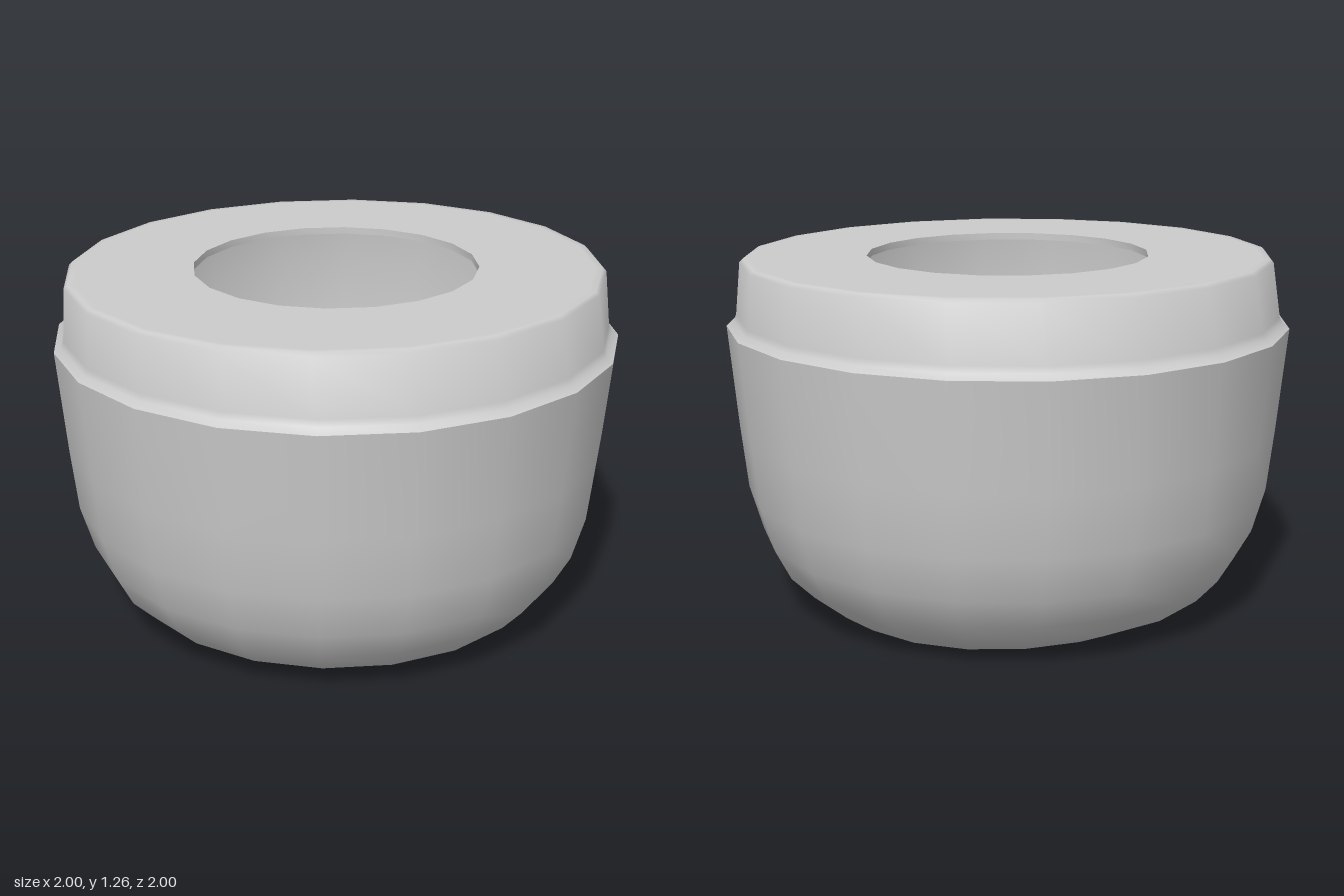
import * as THREE from 'three';
import { mergeGeometries, toCreasedNormals } from 'three/addons/utils/BufferGeometryUtils.js';

const SIDES = 20;

// Closed shell profile: [x radius, height, z radius], up the outside and down the inside
const PROFILE = [
  [0.65, 0, 0.6], [0.76, 0.075, 0.755], [0.845, 0.16, 0.83], [0.9, 0.27, 0.893],
  [0.947, 0.43, 0.937], [0.97, 0.65, 0.962], [1, 1.02, 1],
  [0.975, 1.038, 0.975], [0.965, 1.06, 0.965],            // rounded lip
  [0.957, 1.248, 0.925], [0.945, 1.26, 0.913], [0.92, 1.26, 0.89], // collar
  [0.505, 1.26, 0.498], [0.505, 1.235, 0.498],            // round opening
  [0.87, 1.235, 0.84], [0.89, 1.0, 0.89], [0.85, 0.45, 0.84],
  [0.81, 0.3, 0.8], [0.75, 0.18, 0.73], [0.65, 0.1, 0.6],
];

function shellGeometry() {
  const geo = new THREE.LatheGeometry(PROFILE.map(([r, y]) => new THREE.Vector2(r, y)), SIDES);
  const pos = geo.attributes.position;
  // squeeze each ring slightly in z
  for (let i = 0; i < pos.count; i++) {
    const [rx, , rz] = PROFILE[i % PROFILE.length];
    pos.setZ(i, pos.getZ(i) * rz / rx);
  }
  return geo.toNonIndexed();
}

function ring(cx, cy, rx, ry, n, start = 0) {
  return Array.from({ length: n }, (_, i) => {
    const a = start + (i / n) * Math.PI * 2;
    return new THREE.Vector2(cx + rx * Math.cos(a), cy + ry * Math.sin(a));
  });
}

// Thick floor pierced by two ten-sided holes
function floorGeometry() {
  const shape = new THREE.Shape(ring(0, 0, 0.65, 0.6, SIDES));
  for (const side of [-1, 1]) {
    shape.holes.push(new THREE.Path(ring(side * 0.32, 0.015, 0.26, 0.26, 10, side > 0 ? Math.PI : 0)));
  }
  const geo = new THREE.ExtrudeGeometry(shape, { depth: 0.1, bevelEnabled: false });
  return geo.rotateX(-Math.PI / 2);
}

export function createModel() {
  const group = new THREE.Group();
  group.name = 'hollowCup';
  const geo = toCreasedNormals(mergeGeometries([shellGeometry(), floorGeometry()]), 0.85);
  const cup = new THREE.Mesh(geo, new THREE.MeshStandardMaterial({ color: 0xcccccc }));
  cup.name = 'cupShell';
  group.add(cup);
  return group;
}
